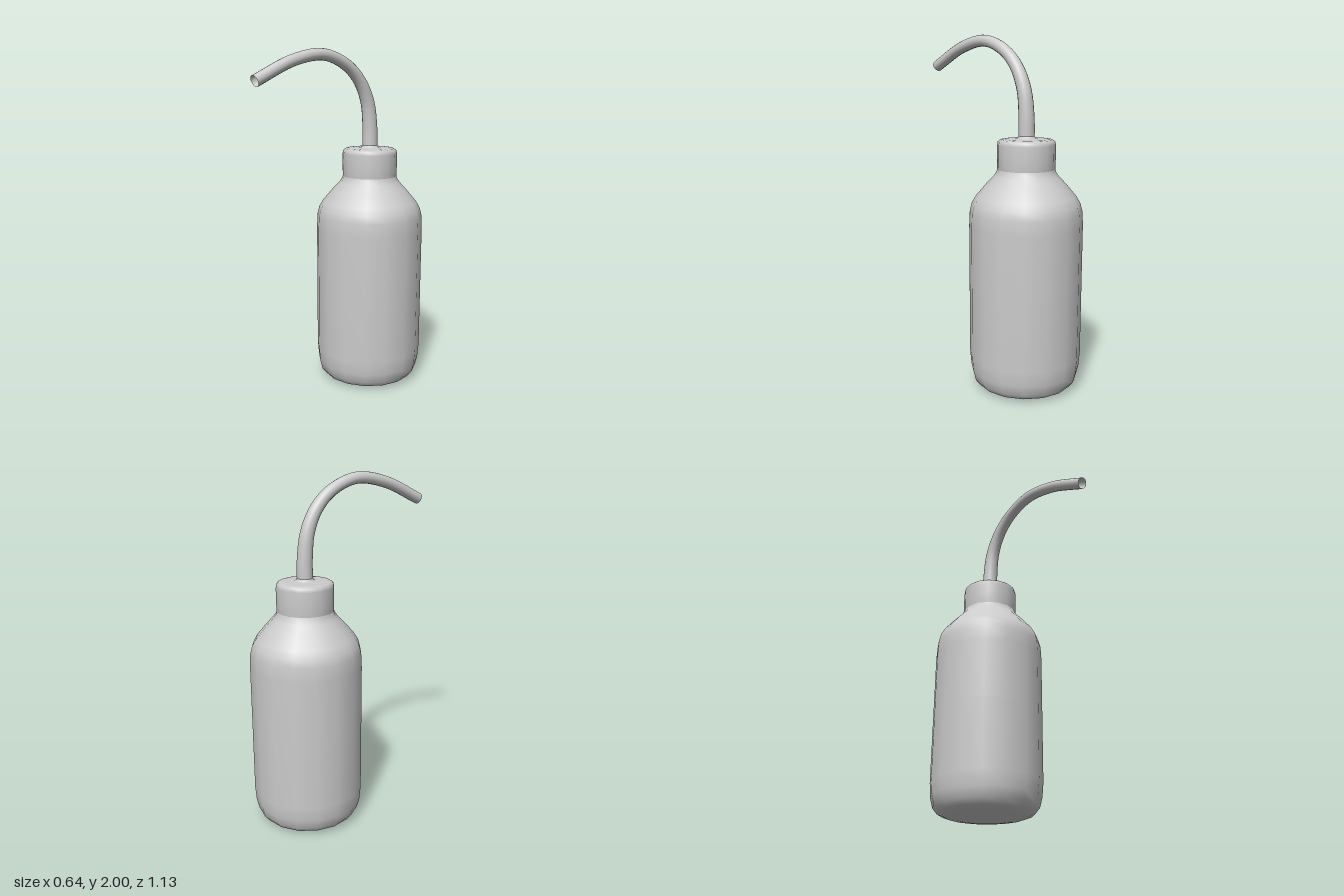
import * as THREE from 'three';

const AXIS_Z = -0.245;

export function createModel() {
  const group = new THREE.Group();
  const material = new THREE.MeshStandardMaterial({ color: 0xcccccc, side: THREE.DoubleSide });

  const addLathe = (name, profile) => {
    const points = profile.map(([r, y]) => new THREE.Vector2(r, y));
    const mesh = new THREE.Mesh(new THREE.LatheGeometry(points, 16), material);
    mesh.name = name;
    mesh.position.z = AXIS_Z;
    group.add(mesh);
  };

  // Bottle with rounded foot and sloping shoulder
  addLathe('bottleBody', [
    [0, 0.004], [0.17, 0.004], [0.23, 0.012], [0.272, 0.028], [0.298, 0.06], [0.312, 0.115],
    [0.319, 0.2], [0.319, 0.6], [0.319, 0.95], [0.315, 1.03], [0.303, 1.075], [0.28, 1.115],
    [0.225, 1.18], [0.18, 1.228], [0.165, 1.25], [0.158, 1.275],
  ]);

  // Screw cap with softened top edge, rising slightly around the tube
  addLathe('cap', [
    [0.156, 1.25], [0.161, 1.265], [0.162, 1.33], [0.162, 1.4], [0.158, 1.418], [0.145, 1.428],
    [0.12, 1.431], [0.065, 1.431], [0.05, 1.436], [0.044, 1.45],
  ]);

  // Bent spout: an open tube, tapering towards its tip
  const path = new THREE.CatmullRomCurve3([
    [1.42, -0.245], [1.56, -0.243], [1.7, -0.222], [1.82, -0.162], [1.91, -0.062],
    [1.966, 0.1], [1.935, 0.305], [1.828, 0.553],
  ].map(([y, z]) => new THREE.Vector3(0, y, z)));
  const steps = 40, sides = 16;
  const tube = new THREE.TubeGeometry(path, steps, 1, sides);
  const pos = tube.attributes.position;
  const v = new THREE.Vector3();
  for (let i = 0; i <= steps; i++) {
    const t = i / steps;
    const centre = path.getPointAt(t);
    const radius = 0.033 + 0.012 * (1 - THREE.MathUtils.smoothstep(t, 0, 0.55));
    for (let j = 0; j <= sides; j++) {
      const k = i * (sides + 1) + j;
      v.fromBufferAttribute(pos, k).sub(centre).multiplyScalar(radius).add(centre);
      pos.setXYZ(k, v.x, v.y, v.z);
    }
  }
  const spout = new THREE.Mesh(tube, material);
  spout.name = 'spout';
  group.add(spout);

  return group;
}
